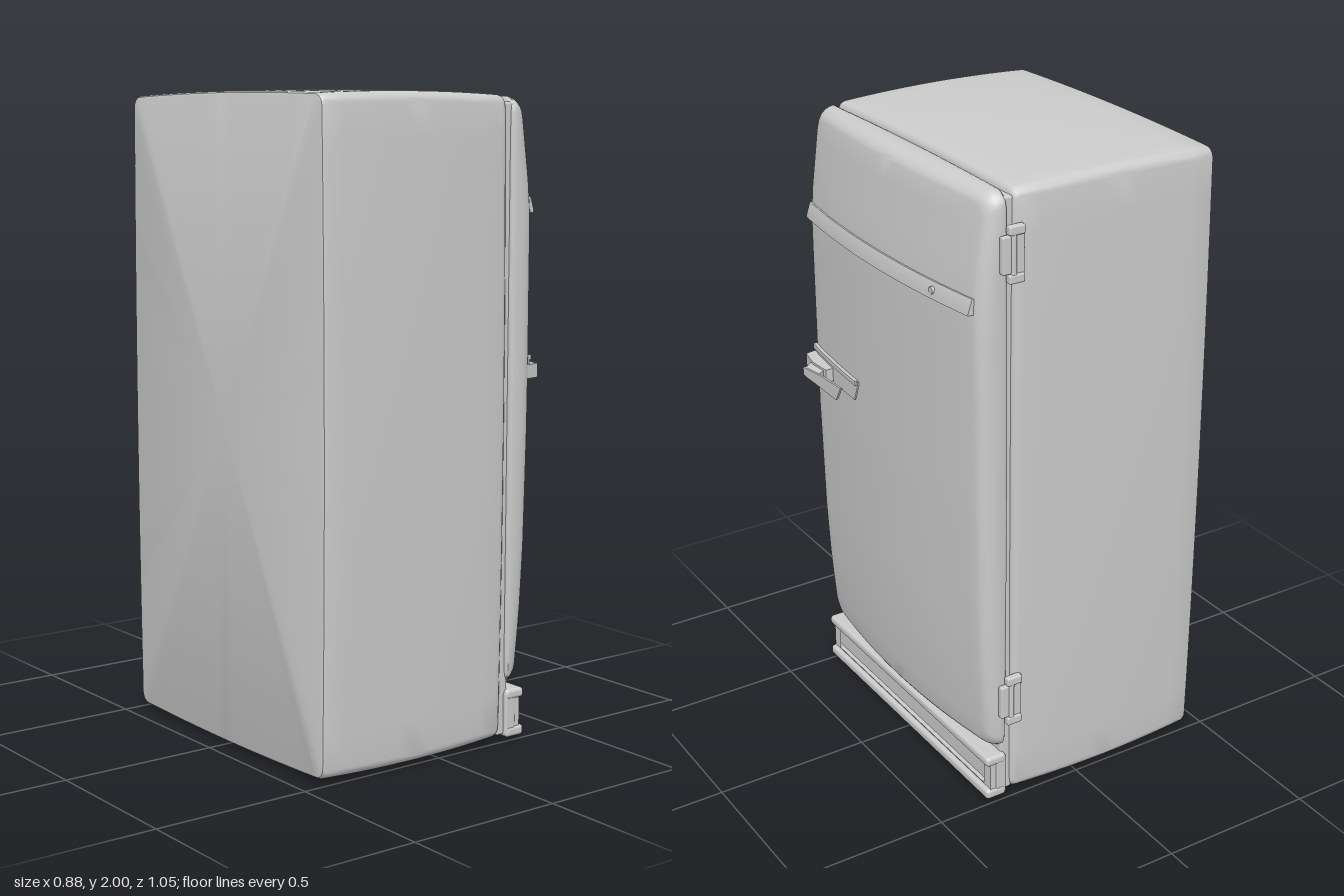
import * as THREE from 'three';
import { toCreasedNormals } from 'three/addons/utils/BufferGeometryUtils.js';
import { RoundedBoxGeometry } from 'three/addons/geometries/RoundedBoxGeometry.js';

const material = new THREE.MeshStandardMaterial({ color: 0xcccccc, roughness: 0.6 });

function add(parent, name, geometry, x = 0, y = 0, z = 0) {
  const mesh = new THREE.Mesh(geometry, material);
  mesh.name = name;
  mesh.position.set(x, y, z);
  parent.add(mesh);
  return mesh;
}

// Skin closed rings of [x, y, z] points, counter-clockwise about the travel direction.
function loft(rings, crease = 0.6) {
  const n = rings[0].length, pos = rings.flat(2), index = [];
  for (let i = 0; i < rings.length - 1; i++) {
    for (let j = 0; j < n; j++) {
      const a = i * n + j, b = i * n + (j + 1) % n;
      index.push(a, b, b + n, a, b + n, a + n);
    }
  }
  [0, rings.length - 1].forEach((r, end) => {
    const centre = pos.length / 3;
    for (let k = 0; k < 3; k++) pos.push(rings[r].reduce((s, p) => s + p[k], 0) / n);
    for (let j = 0; j < n; j++) {
      const a = r * n + j, b = r * n + (j + 1) % n;
      if (end) index.push(centre, a, b); else index.push(centre, b, a);
    }
  });
  const g = new THREE.BufferGeometry();
  g.setAttribute('position', new THREE.Float32BufferAttribute(pos, 3));
  g.setIndex(index);
  return toCreasedNormals(g, crease);
}

// Rounded rectangle in y and z with gently bowed edges; xAt gives the depth.
function ring({ cy, cz, hy, hz, r, bow, inset = 0, scale = 1 }, xAt) {
  const pts = [], H = hy - inset, W = hz - inset, steps = 18;
  for (let q = 0; q < 4; q++) {
    const sy = q === 0 || q === 3 ? 1 : -1, sz = q < 2 ? 1 : -1;
    for (let k = 0; k <= 6; k++) {
      const a = (q + k / 6) * Math.PI / 2;
      pts.push([sy * (H - r) + r * Math.cos(a), sz * (W - r) + r * Math.sin(a)]);
    }
    const [y, z] = pts[pts.length - 1];
    const alongY = q % 2 === 1 ? 0 : 1;
    for (let k = 1; k < steps; k++) {
      const t = 1 - 2 * k / steps;
      pts.push(alongY ? [sy * (H - r) * t, z] : [y, sz * (W - r) * t]);
    }
  }
  return pts.map(([y, z]) => {
    const py = cy + scale * (y + bow * (1 - (z / W) ** 2) * y / H);
    const pz = cz + scale * (z + bow * (1 - (y / H) ** 2) * z / W);
    return [xAt(py, pz), py, pz];
  });
}

// Door front: height profile combined with a sideways crown.
const profile = [[0.17, 0.345], [0.25, 0.355], [0.4, 0.368], [0.6, 0.378], [1, 0.386],
  [1.62, 0.389], [1.68, 0.388], [1.95, 0.354], [2, 0.342]];
function doorX(y, z) {
  let i = 0;
  while (i < profile.length - 2 && y > profile[i + 1][0]) i++;
  const [y0, x0] = profile[i], [y1, x1] = profile[i + 1];
  return x0 + (x1 - x0) * (y - y0) / (y1 - y0) - 0.033 * (z / 0.47) ** 2;
}

function bodyGeometry() {
  const base = { cy: 1, cz: 0.004, hy: 0.982, hz: 0.5, r: 0.03, bow: 0.01 };
  const stations = [[-0.44, 0.012], [-0.437, 0.004], [-0.428, 0]];
  for (let i = 1; i < 10; i++) {
    const t = i / 10;
    stations.push([-0.428 + 0.65 * t, -0.032 * t * (1 - t)]);
  }
  stations.push([0.222, 0], [0.234, 0.003], [0.242, 0.01], [0.245, 0.02]);
  return loft(stations.map(([x, inset]) => ring({ ...base, inset }, () => x)));
}

function doorGeometry() {
  const base = { cy: 1.08, cz: 0.006, hy: 0.898, hz: 0.5, r: 0.045, bow: 0.008 };
  const rings = [[0.262, 0.012], [0.266, 0.003], [0.274, 0]]
    .map(([x, inset]) => ring({ ...base, inset }, () => x));
  // rounded shoulder, then the crowned face
  for (let k = 0; k <= 6; k++) {
    const a = k / 6 * Math.PI / 2;
    rings.push(ring({ ...base, inset: 0.036 * (1 - Math.cos(a)) },
      (y, z) => doorX(y, z) - 0.045 * (1 - Math.sin(a))));
  }
  for (let k = 1; k <= 14; k++) {
    rings.push(ring({ ...base, inset: 0.036, scale: 1 - k / 14.3 }, doorX));
  }
  return loft(rings, 0.8);
}

// Raised strip swept across the door, section tapering to a drip edge.
function trimGeometry() {
  const rings = [];
  for (let k = 0; k <= 24; k++) {
    const z = -0.465 + 0.95 * k / 24, x = doorX(1.64, z);
    rings.push([[x - 0.02, 1.632, z], [x + 0.016, 1.632, z], [x + 0.016, 1.64, z],
      [x + 0.003, 1.68, z], [x - 0.02, 1.68, z]]);
  }
  return loft(rings);
}

// Flat outline of [z, y] points, thickened along x.
function slab(points, x, depth, hole) {
  const flip = list => list.map(([z, y]) => new THREE.Vector2(-z, y));
  const shape = new THREE.Shape(flip(points));
  if (hole) shape.holes.push(new THREE.Path(flip(hole)));
  return new THREE.ExtrudeGeometry(shape, { depth, bevelEnabled: false })
    .rotateY(Math.PI / 2).translate(x, 0, 0);
}

// Floor-plan outline of [x, z] points, raised from y by height.
function plan(points, y, height) {
  const shape = new THREE.Shape(points.map(([x, z]) => new THREE.Vector2(x, -z)));
  return new THREE.ExtrudeGeometry(shape, { depth: height, bevelEnabled: false })
    .rotateX(-Math.PI / 2).translate(0, y, 0);
}

const rect = (z0, z1, y0, y1) => [[z0, y0], [z1, y0], [z1, y1], [z0, y1]];

function handle() {
  const g = new THREE.Group();
  g.name = 'doorHandle';
  // plate lying on the door, with a slanted free end
  const plate = [[0.155, 1.188], [0.18, 1.13], [0.33, 1.125], [0.4, 1.14], [0.49, 1.15]].map(([z, y]) => {
    const x = doorX(1.16, z);
    return [[x - 0.02, y, z], [x + 0.005, y, z], [x + 0.005, 1.2, z], [x - 0.02, 1.2, z]];
  });
  add(g, 'handlePlate', loft(plate));
  const ledge = [0.16, 0.24, 0.32, 0.4, 0.49].map(z => {
    const x = doorX(1.16, z);
    return [[x - 0.01, 1.187, z], [x + 0.012, 1.187, z], [x + 0.012, 1.202, z], [x - 0.01, 1.202, z]];
  });
  add(g, 'handleLedge', loft(ledge));
  add(g, 'handleMount', plan([[0.315, 0.507], [0.39, 0.49], [0.405, 0.42], [0.4, 0.34], [0.36, 0.34]], 1.13, 0.043));
  add(g, 'handleNeck', plan([[0.385, 0.45], [0.42, 0.42], [0.441, 0.405], [0.441, 0.33], [0.4, 0.355]], 1.138, 0.028));
  add(g, 'handleLever', slab([[0.415, 1.14], [0.2, 1.135], [0.168, 1.186], [0.3, 1.18], [0.415, 1.166]], 0.434, 0.007));
  return g;
}

function hinge(y) {
  const g = new THREE.Group();
  g.name = 'hinge';
  g.position.y = y;
  add(g, 'bodyLeaf', new RoundedBoxGeometry(0.028, 0.165, 0.018, 2, 0.005), 0.233, 0, -0.506);
  add(g, 'doorLeaf', new RoundedBoxGeometry(0.03, 0.11, 0.02, 2, 0.005), 0.279, 0, -0.508);
  add(g, 'hingePin', new THREE.CylinderGeometry(0.011, 0.011, 0.16, 16), 0.257, 0, -0.511);
  for (const s of [-1, 1]) {
    add(g, 'hingeKnuckle', new RoundedBoxGeometry(0.052, 0.028, 0.024, 2, 0.006), 0.248, s * 0.07, -0.511);
  }
  return g;
}

function kickPlate() {
  const g = new THREE.Group();
  g.name = 'kickPlate';
  add(g, 'kickPanel', new RoundedBoxGeometry(0.04, 0.14, 1.006, 2, 0.008), 0.281, 0.088, 0.006);
  add(g, 'kickFrame', slab(rect(-0.494, 0.506, 0.025, 0.15), 0.295, 0.023, rect(-0.455, 0.467, 0.05, 0.132)));
  add(g, 'kickTopRail', new RoundedBoxGeometry(0.071, 0.032, 1.012, 3, 0.012), 0.2985, 0.15, 0.006);
  add(g, 'kickBottomRail', new RoundedBoxGeometry(0.071, 0.034, 1.012, 3, 0.012), 0.2985, 0.03, 0.006);
  return g;
}

export function createModel() {
  const model = new THREE.Group();
  model.name = 'refrigerator';
  add(model, 'cabinet', bodyGeometry());
  // seal filling the gap between cabinet and door
  add(model, 'doorSeal', new RoundedBoxGeometry(0.04, 1.94, 0.98, 2, 0.008), 0.256, 0.992, 0.006);
  add(model, 'door', doorGeometry());
  add(model, 'doorTrim', trimGeometry());
  add(model, 'lockButton', new THREE.CylinderGeometry(0.011, 0.011, 0.014, 20).rotateZ(Math.PI / 2),
    doorX(1.655, -0.297) + 0.01, 1.656, -0.297);
  model.add(handle(), hinge(1.805), hinge(0.365), kickPlate());
  return model;
}
